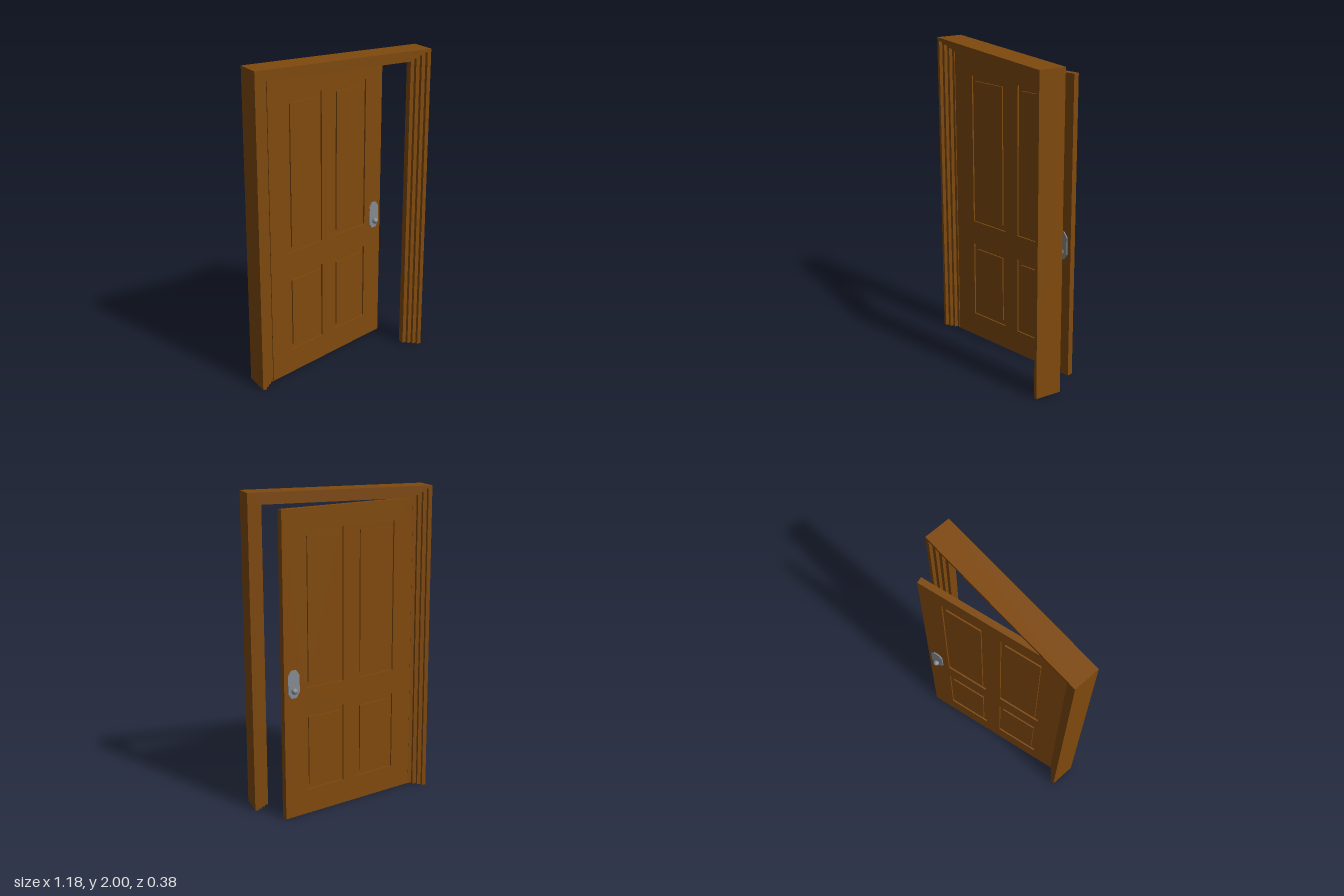
import * as THREE from 'three';

export function createModel() {
  const wood = new THREE.MeshStandardMaterial({ color: 0x7f490d });
  wood.name = 'brown wood';
  const metal = new THREE.MeshStandardMaterial({ color: 0x838a90 });
  metal.name = 'grey metal';

  const model = new THREE.Group();
  model.name = 'doorway';

  const add = (parent, name, geometry, material, x = 0, y = 0, z = 0) => {
    const mesh = new THREE.Mesh(geometry, material);
    mesh.name = name;
    mesh.position.set(x, y, z);
    parent.add(mesh);
    return mesh;
  };
  const polygon = (pts) => new THREE.Shape(pts.map(([x, y]) => new THREE.Vector2(x, y)));
  // extrusion centred on z = 0
  const slab = (shape, depth) => {
    const g = new THREE.ExtrudeGeometry(shape, { depth, bevelEnabled: false });
    return g.translate(0, 0, -depth / 2);
  };

  // Frame: nested arches, each one thinner than the one outside it
  const frame = new THREE.Group();
  frame.name = 'doorFrame';
  frame.position.z = 0.102;
  model.add(frame);
  const steps = 4;
  for (let i = 0; i < steps; i++) {
    const xo = 0.592 - i * 0.0255, xi = xo - 0.0255;
    const yo = 2 - i * 0.02, yi = yo - 0.02;
    const arch = polygon([[-xo, 0], [-xi, 0], [-xi, yi], [xi, yi], [xi, 0], [xo, 0], [xo, yo], [-xo, yo]]);
    add(frame, 'frameStep' + (i + 1), slab(arch, 0.17 * (1 - i / steps)), wood);
  }

  // Door: hinged on the right jamb and swung backwards
  const door = new THREE.Group();
  door.name = 'door';
  door.position.set(-0.49, 0, 0.102);
  door.rotation.y = 0.266;
  model.add(door);
  const W = 0.975, H = 1.92, T = 0.039, groove = 0.01;

  const leaf = polygon([[0, 0], [W, 0], [W, H], [0, H]]);
  for (const [x0, x1] of [[0.15, 0.435], [0.54, 0.825]]) {
    for (const [y0, y1] of [[0.16, 0.667], [0.825, 1.79]]) {
      leaf.holes.push(new THREE.Path([[x0, y0], [x0, y1], [x1, y1], [x1, y0]].map(([x, y]) => new THREE.Vector2(x, y))));
      const w = x1 - x0, h = y1 - y0, cx = (x0 + x1) / 2, cy = (y0 + y1) / 2;
      // sunken groove floor and the raised panel inside it, on both faces
      add(door, 'panelGroove', new THREE.BoxGeometry(w, h, T - 2 * groove), wood, cx, cy);
      add(door, 'raisedPanel', new THREE.BoxGeometry(w - 0.052, h - 0.066, T - 0.002), wood, cx, cy);
    }
  }
  add(door, 'doorLeaf', slab(leaf, T), wood);

  // Handles: an eight-sided plate and a round knob on each face
  const a = 0.041, b = 0.0875, c = 0.018, d = 0.054;
  const plate = polygon([[-c, -b], [c, -b], [a, -d], [a, d], [c, b], [-c, b], [-a, d], [-a, -d]]);
  for (const side of [1, -1]) {
    const name = side > 0 ? 'front' : 'back';
    add(door, name + 'HandlePlate', slab(plate, 0.008), metal, 0.91, 0.868, side * (T / 2 + 0.004));
    add(door, name + 'Knob', new THREE.SphereGeometry(0.019, 20, 14), metal, 0.912, 0.828, side * 0.037);
  }
  return model;
}
